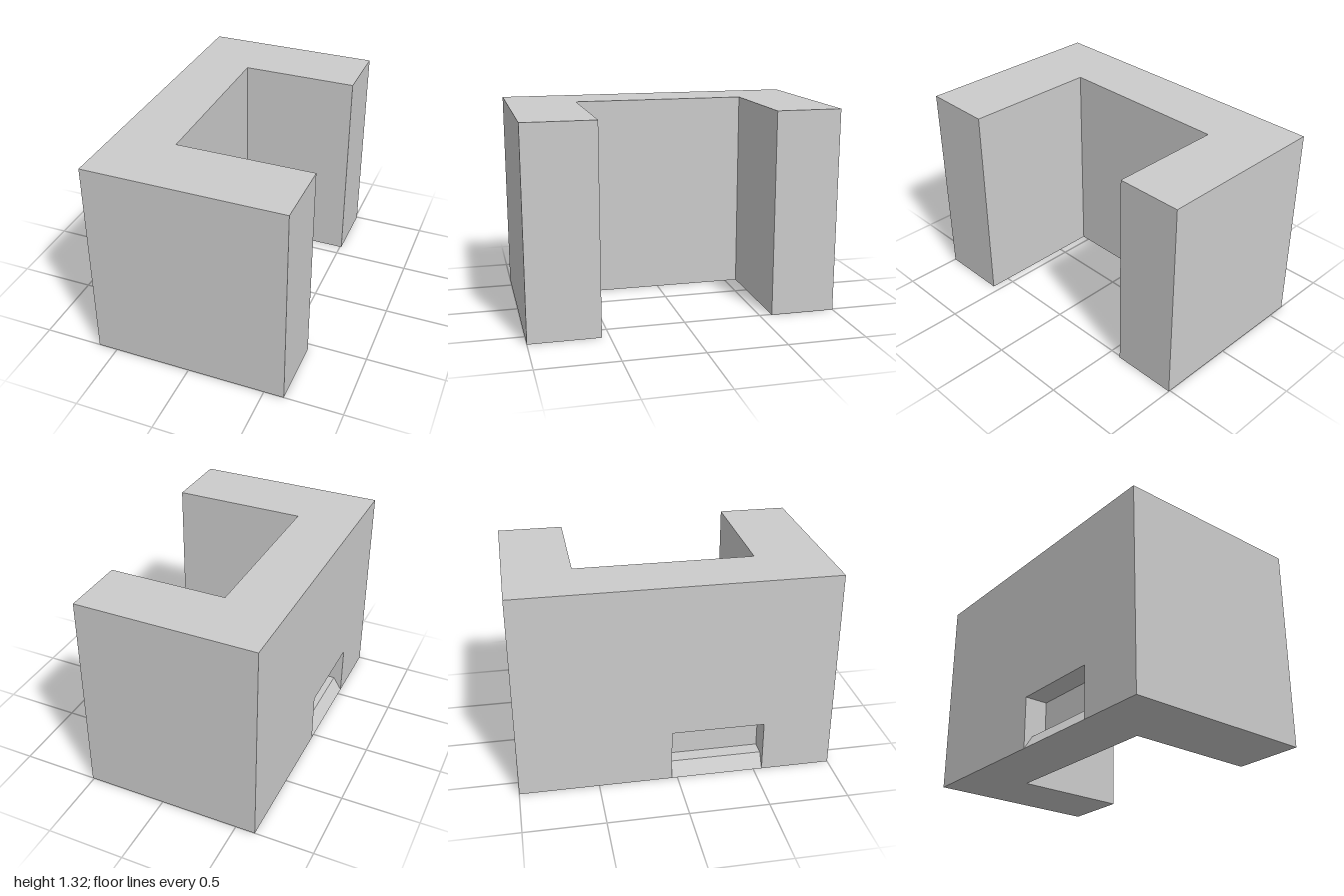
import * as THREE from 'three';
import { mergeGeometries } from 'three/addons/utils/BufferGeometryUtils.js';

const HEIGHT = 1.32;
const WALL_X = -0.625;                      // outer face of the spine
const NICHE = { z0: -0.035, z1: 0.555, top: 0.335, depth: 0.15, ledge: 0.09, run: 0.057 };

// Flat polygon from corners listed counter-clockwise as seen from outside.
function face(corners) {
  const pts = corners.map((c) => new THREE.Vector3(...c));
  const normal = new THREE.Vector3();
  pts.forEach((p, i) => normal.add(p.clone().cross(pts[(i + 1) % pts.length])));
  normal.normalize();
  const u = pts[1].clone().sub(pts[0]).normalize();
  const v = normal.clone().cross(u);
  const flat = pts.map((p) => new THREE.Vector2(p.dot(u), p.dot(v)));
  const order = THREE.ShapeUtils.triangulateShape(flat, []).flat();
  const geometry = new THREE.BufferGeometry().setFromPoints(order.map((i) => pts[i]));
  geometry.computeVertexNormals();
  return geometry;
}

export function createModel() {
  const group = new THREE.Group();
  const material = new THREE.MeshStandardMaterial({ color: 0xcccccc, flatShading: true });
  const add = (name, faces) => {
    const mesh = new THREE.Mesh(mergeGeometries(faces), material);
    mesh.name = name;
    group.add(mesh);
  };

  // C-shaped footprint as [x, z]; the first edge is the outer spine wall
  const plan = [
    [WALL_X, -1], [WALL_X, 1], [0.628, 1], [0.628, 0.55],
    [-0.235, 0.55], [-0.235, -0.58], [0.51, -0.58], [0.51, -1],
  ];
  const level = (y) => plan.map(([x, z]) => [x, y, z]);
  add('roof', [face(level(HEIGHT))]);
  add('base', [face(level(0).reverse())]);

  // Plain walls around the wings and the courtyard
  const walls = [];
  for (let i = 1; i < plan.length; i++) {
    const [ax, az] = plan[i];
    const [bx, bz] = plan[(i + 1) % plan.length];
    walls.push(face([[ax, 0, az], [bx, 0, bz], [bx, HEIGHT, bz], [ax, HEIGHT, az]]));
  }
  add('walls', walls);

  // Outer spine wall with the niche opening cut from its lower edge
  const { z0, z1, top, depth, ledge, run } = NICHE;
  const outline = [
    [0, -1], [0, z0], [top, z0], [top, z1], [0, z1], [0, 1], [HEIGHT, 1], [HEIGHT, -1],
  ];
  add('entranceWall', [face(outline.map(([y, z]) => [WALL_X, y, z]))]);

  // Niche lining: ramp, ledge, back wall, ceiling and two cheeks
  const profile = [
    [WALL_X, 0], [WALL_X + run, ledge], [WALL_X + depth, ledge],
    [WALL_X + depth, top], [WALL_X, top],
  ];
  const lining = [
    face(profile.map(([x, y]) => [x, y, z0])),
    face(profile.map(([x, y]) => [x, y, z1]).reverse()),
  ];
  for (let i = 0; i < profile.length - 1; i++) {
    const a = profile[i], b = profile[i + 1];
    lining.push(face([[...a, z0], [...a, z1], [...b, z1], [...b, z0]]));
  }
  add('entranceNiche', lining);

  return group;
}
